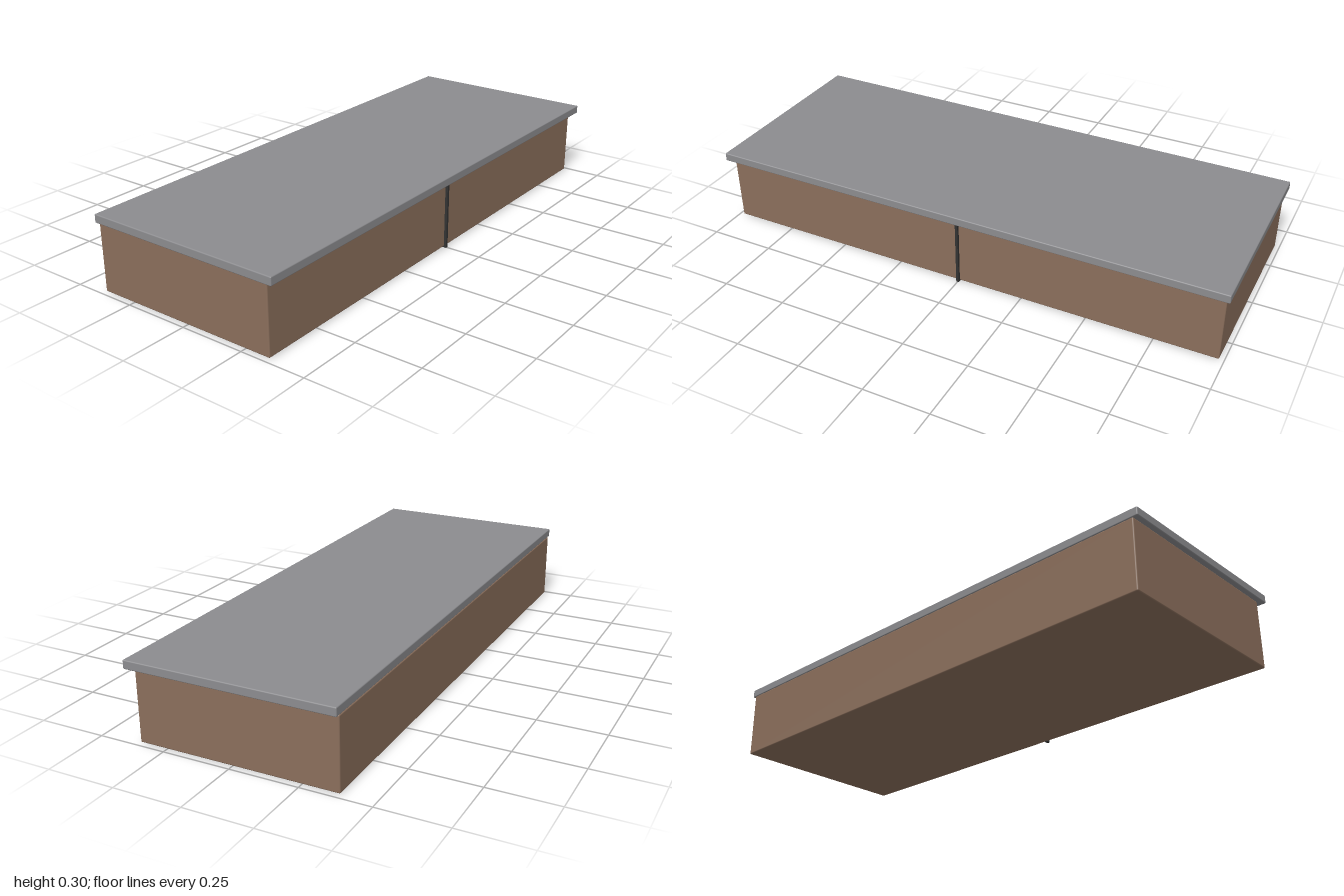
import * as THREE from 'three';
import { RoundedBoxGeometry } from 'three/addons/geometries/RoundedBoxGeometry.js';

// Box spanning the given min and max corners, with slightly eased edges if radius > 0
function slab(name, min, max, radius, color) {
  const size = max.map((v, i) => v - min[i]);
  const geometry = radius > 0
    ? new RoundedBoxGeometry(...size, 3, radius)
    : new THREE.BoxGeometry(...size);
  const mesh = new THREE.Mesh(geometry, new THREE.MeshStandardMaterial({ color }));
  mesh.position.set(...max.map((v, i) => (v + min[i]) / 2));
  mesh.name = name;
  return mesh;
}

export function createModel() {
  const model = new THREE.Group();
  model.name = 'counter';

  // Wooden cabinet body, flush with the top at the back
  model.add(slab('cabinetBody', [-0.983, 0.003, -0.384], [0.983, 0.264, 0.352], 0.005, 0x8b6f5c));

  // Thin dark divider strip down the middle of the front
  model.add(slab('frontDivider', [-0.005, 0, 0.345], [0.005, 0.266, 0.362], 0, 0x333333));

  // Grey top, overhanging at the front and the sides
  model.add(slab('counterTop', [-1, 0.264, -0.384], [1, 0.296, 0.384], 0.004, 0x8c8c8f));

  return model;
}
